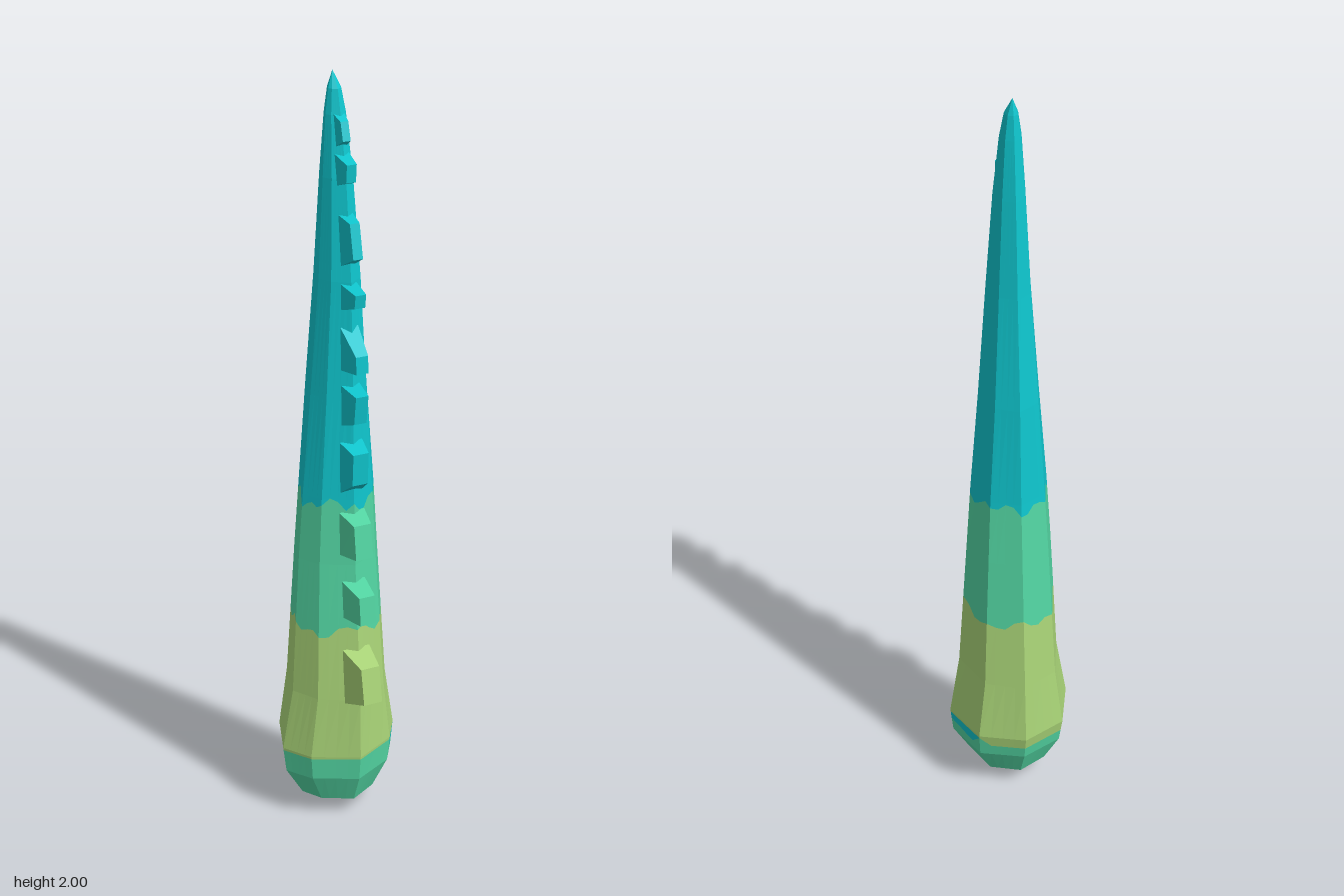
import * as THREE from 'three';

const paint = (name, color) => {
  const m = new THREE.MeshStandardMaterial({ color, flatShading: true });
  m.name = name;
  return m;
};

// Cross-sections: height, half width, front z, back z
const RINGS = [
  [0, 0, -0.02, -0.02], [0.05, 0.107, 0.08, -0.138], [0.13, 0.155, 0.112, -0.175],
  [0.2, 0.163, 0.12, -0.19], [0.37, 0.135, 0.118, -0.178], [0.57, 0.123, 0.1, -0.162],
  [0.75, 0.112, 0.085, -0.148], [0.93, 0.1, 0.077, -0.134], [1.2, 0.078, 0.07, -0.12],
  [1.5, 0.056, 0.058, -0.095], [1.75, 0.04, 0.03, -0.077], [1.9, 0.027, 0.0, -0.063],
  [1.96, 0.017, -0.015, -0.056], [2, 0, -0.045, -0.045],
];
// Octagon corners: x as share of half width, z as share from back to front
const CORNERS = [
  [0, 1], [0.71, 0.81], [1, 0.57], [0.71, 0.16],
  [0, 0], [-0.71, 0.16], [-1, 0.57], [-0.71, 0.81],
];
const SPLIT = 4; // columns per facet, so colour borders can waver
const COLS = 8 * SPLIT;

// Point on the body at column k and height y
function skin(k, y) {
  let r = 0;
  while (r < RINGS.length - 2 && y > RINGS[r + 1][0]) r++;
  const a = RINGS[r], b = RINGS[r + 1];
  const t = (y - a[0]) / (b[0] - a[0]);
  const [hw, front, back] = [1, 2, 3].map((n) => a[n] + (b[n] - a[n]) * t);
  const c = Math.floor(k / SPLIT) % 8, f = (k % SPLIT) / SPLIT;
  const p = CORNERS[c], q = CORNERS[(c + 1) % 8];
  const sx = p[0] + (q[0] - p[0]) * f, sz = p[1] + (q[1] - p[1]) * f;
  return [hw * sx, y, back + (front - back) * sz];
}

function geometryFrom(positions) {
  const g = new THREE.BufferGeometry();
  g.setAttribute('position', new THREE.Float32BufferAttribute(positions, 3));
  g.computeVertexNormals();
  return g;
}

// Band of skin between two borders, each a function of the column
function band(low, high) {
  const out = [];
  for (let k = 0; k < COLS; k++) {
    const k2 = (k + 1) % COLS;
    const at = (col) => {
      const lo = low(col), hi = high(col);
      return [lo, ...RINGS.map((r) => Math.min(Math.max(r[0], lo), hi)), hi];
    };
    const ya = at(k), yb = at(k2);
    for (let i = 0; i < ya.length - 1; i++) {
      const flatA = ya[i + 1] - ya[i] < 1e-6, flatB = yb[i + 1] - yb[i] < 1e-6;
      const a = skin(k, ya[i]), b = skin(k2, yb[i]);
      const c = skin(k2, yb[i + 1]), d = skin(k, ya[i + 1]);
      if (!flatB && yb[i + 1] > 0) out.push(...a, ...b, ...c);
      if (!flatA) out.push(...a, ...c, ...d);
    }
  }
  return geometryFrom(out);
}

// Tapered nub: base heights, outer heights, outer z, base and outer half width
function nub(y0, y1, o0, o1, zLow, zHigh, w) {
  const g = new THREE.BoxGeometry(1, 1, 1);
  const p = g.attributes.position;
  for (let i = 0; i < p.count; i++) {
    const outer = p.getZ(i) > 0, top = p.getY(i) > 0;
    const y = outer ? (top ? o1 : o0) : (top ? y1 : y0);
    const z = outer ? (top ? zHigh : zLow) : skin(0, y)[2] - 0.015;
    p.setXYZ(i, Math.sign(p.getX(i)) * w * (outer ? 0.68 : 1), y, z);
  }
  g.computeVertexNormals();
  return g;
}

export function createModel() {
  const group = new THREE.Group();
  group.name = 'tentacle';
  const teal = paint('teal', 0x0fc6ce);
  const green = paint('sea green', 0x53d6a3);
  const olive = paint('yellow green', 0xaad578);
  const add = (name, geometry, material) => {
    const mesh = new THREE.Mesh(geometry, material);
    mesh.name = name;
    group.add(mesh);
  };

  // Wavering colour borders
  const wave = (k, s) => 0.012 * Math.sin(k * 1.7 + s) + 0.01 * Math.cos(k * 0.8 + s);
  const bottom = () => 0;
  const tip = () => 2;
  const patchTop = (k) => (k > 12 && k < 23 ? 0.165 : 0.193);
  const patchLow = (k) => (k > 4 && k < 12 ? 0.163 + 0.006 * Math.sin(k) : patchTop(k));
  const oliveTop = (k) => 0.56 + wave(k, 0);
  const greenTop = (k) => 0.912 + wave(k, 2);

  add('rootCap', band(bottom, patchLow), green);
  add('sidePatch', band(patchLow, patchTop), teal);
  add('lowerBody', band(patchTop, oliveTop), olive);
  add('middleBody', band(oliveTop, greenTop), green);
  add('upperBody', band(greenTop, tip), teal);

  // Row of nubs up the front
  const nubs = [
    [0.365, 0.515, 0.4, 0.495, 0.19, 0.172, 0.038, olive],
    [0.605, 0.705, 0.615, 0.69, 0.16, 0.152, 0.032, green],
    [0.78, 0.895, 0.79, 0.88, 0.137, 0.125, 0.035, green],
    [0.95, 1.085, 0.985, 1.07, 0.11, 0.115, 0.031, teal],
    [1.13, 1.235, 1.15, 1.225, 0.11, 0.12, 0.025, teal],
    [1.275, 1.385, 1.285, 1.33, 0.12, 0.118, 0.024, teal],
    [1.43, 1.495, 1.45, 1.485, 0.105, 0.11, 0.021, teal],
    [1.54, 1.665, 1.57, 1.655, 0.095, 0.076, 0.019, teal],
    [1.735, 1.81, 1.75, 1.795, 0.056, 0.06, 0.019, teal],
    [1.825, 1.905, 1.845, 1.89, 0.033, 0.02, 0.015, teal],
  ];
  nubs.forEach((n, i) => add('nub' + (i + 1), nub(...n.slice(0, 7)), n[7]));
  return group;
}
